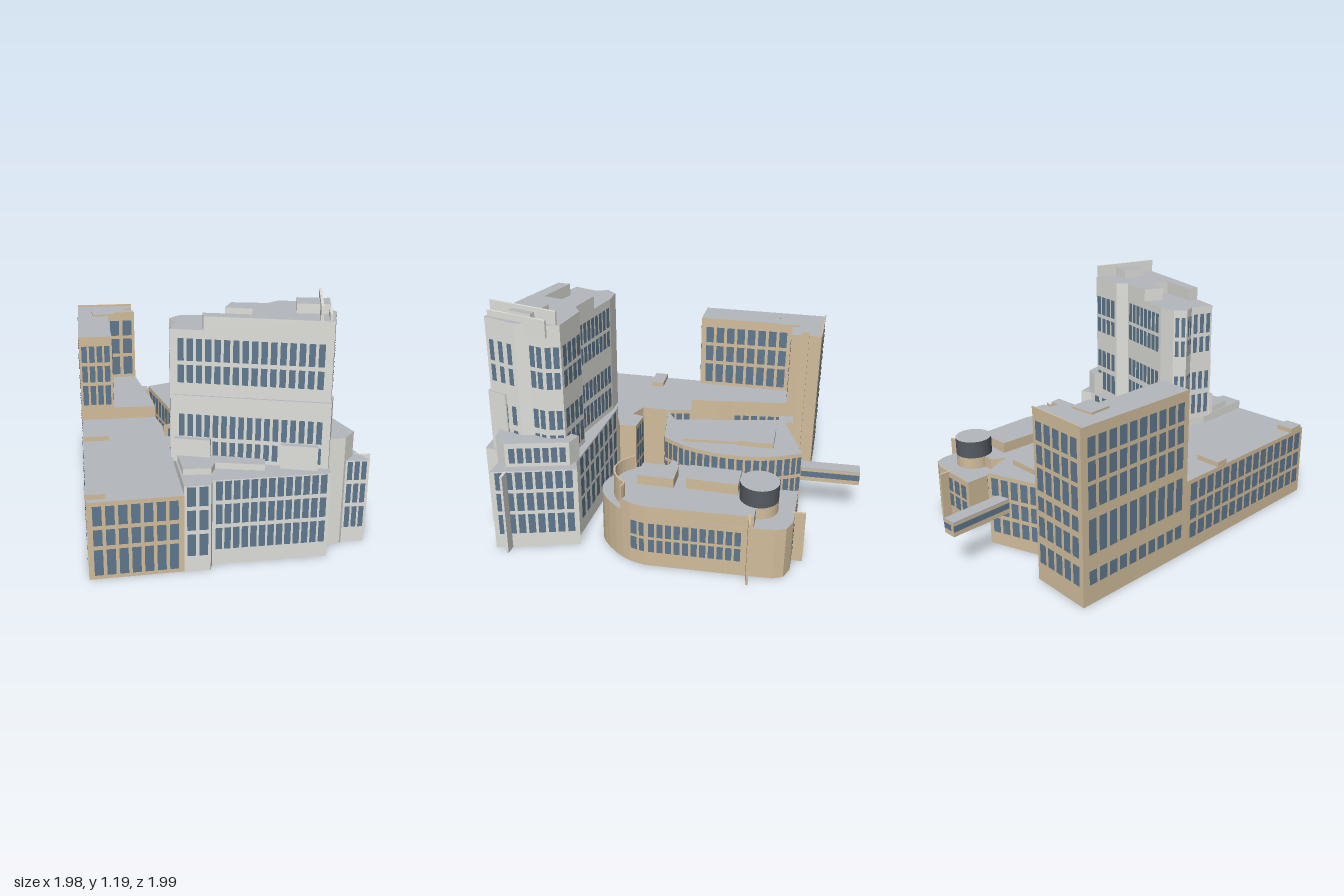
import * as THREE from 'three';
import { mergeGeometries } from 'three/addons/utils/BufferGeometryUtils.js';

const mat = color => new THREE.MeshStandardMaterial({ color, side: THREE.DoubleSide, flatShading: true });
const TAN = mat(0xd2bd9c), GREY = mat(0xdfdfda), ROOF = mat(0xb4b8bd), GLASS = mat(0x5f788e), DARK = mat(0x555b62);

export function createModel() {
  const model = new THREE.Group();
  const add = (name, geo, material) => {
    const m = new THREE.Mesh(geo, material);
    m.name = name;
    model.add(m);
  };

  // Points of a smooth plan curve
  const curve = (points, n) => new THREE.SplineCurve(points.map(p => new THREE.Vector2(...p)))
    .getPoints(n).map(p => [p.x, p.y]);

  // An upright sheet from a to b, facing outward when the plan runs clockwise seen from above
  function panel(a, b, y0, y1, offset = 0) {
    const dx = a[0] - b[0], dz = a[1] - b[1], len = Math.hypot(dx, dz);
    return new THREE.PlaneGeometry(len, y1 - y0)
      .rotateY(-Math.atan2(dz, dx))
      .translate((a[0] + b[0]) / 2 - dz / len * offset, (y0 + y1) / 2, (a[1] + b[1]) / 2 + dx / len * offset);
  }

  // Hollow walls raised from a clockwise plan of [x, z] corners, closed by a roof; open lists shared walls
  function block(name, plan, y0, y1, wall, open = []) {
    const sides = plan.map((p, i) => panel(p, plan[(i + 1) % plan.length], y0, y1));
    add(name, mergeGeometries(sides.filter((_, i) => !open.includes(i))), wall);
    const shape = new THREE.Shape(plan.map(([x, z]) => new THREE.Vector2(x, -z)));
    add(name + 'Roof', new THREE.ShapeGeometry(shape).rotateX(-Math.PI / 2).translate(0, y1, 0), ROOF);
  }

  // A grid of panes on wall number i of a plan
  function windows(name, plan, i, cols, rows, fill = 0.72, margin = 0.04) {
    const a = plan[i], b = plan[(i + 1) % plan.length];
    const at = t => [a[0] + (b[0] - a[0]) * t, a[1] + (b[1] - a[1]) * t];
    const step = (1 - 2 * margin) / cols, panes = [];
    for (const [y0, y1] of rows)
      for (let c = 0; c < cols; c++) {
        const t = margin + (c + 0.5) * step;
        panes.push(panel(at(t - step * fill / 2), at(t + step * fill / 2), y0, y1, 0.003));
      }
    add(name + 'Windows', mergeGeometries(panes), GLASS);
  }

  // A solid bar standing on the line from a to b
  function wallBox(a, b, y0, y1, thick) {
    const dx = b[0] - a[0], dz = b[1] - a[1];
    return new THREE.BoxGeometry(Math.hypot(dx, dz), y1 - y0, thick)
      .rotateY(-Math.atan2(dz, dx))
      .translate((a[0] + b[0]) / 2, (y0 + y1) / 2, (a[1] + b[1]) / 2);
  }

  // A turned box given by centre, size and angle in plan
  function roofBox(name, x, z, w, d, y0, y1, angle, wall) {
    const c = Math.cos(angle), s = Math.sin(angle);
    block(name, [[-1, -1], [1, -1], [1, 1], [-1, 1]].map(([i, j]) =>
      [x + c * i * w / 2 - s * j * d / 2, z + s * i * w / 2 + c * j * d / 2]), y0, y1, wall);
  }

  const low3 = [[0.07, 0.15], [0.17, 0.25], [0.27, 0.365]];
  const podiumRows = [[0.08, 0.19], [0.21, 0.31], [0.33, 0.425]];

  // Tall tan wing standing on a wider base
  const back = [[-0.99, -0.21], [-0.75, -0.42], [-0.71, -0.37], [-0.74, -0.34], [-0.71, -0.31], [-0.68, -0.34],
    [-0.64, -0.31]];
  const base = [...back, [-0.41, -0.12], [-0.36, -0.09], [-0.24, 0.02], [-0.54, 0.28]];
  block('tallWingBase', base, 0, 0.45, TAN);
  windows('tallWingBaseFront', base, 10, 10, [[0.1, 0.17], [0.25, 0.42]]);
  windows('tallWingBaseBack', base, 0, 5, [[0.1, 0.2], [0.24, 0.34], [0.37, 0.44]]);
  windows('tallWingBaseCourt', base, 6, 6, low3);
  const wing = [...back, [-0.755, -0.2], [-0.41, 0.165], [-0.54, 0.28]];
  block('tallWing', wing, 0.45, 0.85, TAN);
  const wingRows = [[0.47, 0.58], [0.6, 0.69], [0.71, 0.8]];
  for (const [side, cols] of [[9, 10], [8, 4], [7, 8], [6, 2], [0, 5]])
    windows('tallWing', wing, side, cols, wingRows);
  roofBox('tallWingPenthouse', -0.76, -0.17, 0.11, 0.12, 0.85, 0.86, 0.75, TAN);
  add('tallWingParapet', wallBox(wing[0], wing[1], 0.85, 0.86, 0.006), TAN);

  // Long tan front wing with its courtyard bay
  const front = [[-0.54, 0.28], [-0.24, 0.02], [-0.13, 0.1], [-0.04, 0.2], [0.05, 0.17], [0.02, 0.11],
    [0.12, 0.035], [0.18, 0.1], [0.13, 0.2], [0.09, 0.26], [0.09, 0.33], [0.15, 0.36], [0.2, 0.45], [0.43, 0.69],
    [0.12, 0.99]];
  block('frontWing', front, 0, 0.385, TAN, [0, 8, 9, 10, 11, 12]);
  windows('frontWing', front, 14, 15, low3, 0.75, 0.02);
  windows('frontWingEnd', front, 13, 7, [[0.02, 0.07], ...low3]);
  windows('frontWingBay', front, 5, 3, low3);
  windows('frontWingCourt', front, 1, 3, low3);
  roofBox('frontWingHatch', -0.31, 0.43, 0.13, 0.07, 0.385, 0.41, -0.75, TAN);
  roofBox('frontWingCornerHatch', 0.1, 0.91, 0.09, 0.09, 0.385, 0.41, 0.81, TAN);

  // Grey podium with a slim bay at the back corner
  const podium = [[0.13, 0.2], [0.6, -0.18], [0.63, -0.24], [0.985, -0.03], [0.9, 0.04], [0.9, 0.06], [0.85, 0.12],
    [0.9, 0.2], [0.5, 0.57], [0.52, 0.61], [0.43, 0.69], [0.2, 0.45], [0.15, 0.36], [0.09, 0.33], [0.09, 0.26]];
  block('podium', podium, 0, 0.43, GREY);
  windows('podiumFront', podium, 7, 13, podiumRows, 0.75, 0.02);
  windows('podiumCorner', podium, 9, 2, podiumRows);
  windows('podiumCourt', podium, 0, 8, podiumRows, 0.6);
  windows('podiumBack', podium, 2, 8, podiumRows);
  windows('podiumBay', podium, 3, 3, podiumRows);
  windows('podiumInside', [podium[11], podium[10]], 0, 7, podiumRows);
  block('terrace', [[0.22, 0.46], [0.6, 0.28], [0.64, 0.35], [0.44, 0.46], [0.46, 0.52], [0.36, 0.6]], 0.43, 0.46, GREY);
  const corner = [[0.57, -0.16], [0.64, -0.19], [0.9, -0.03], [0.9, 0.06], [0.85, 0.12], [0.7, 0.1]];
  block('cornerBlock', corner, 0.43, 0.555, GREY);
  windows('cornerBlock', corner, 1, 7, [[0.45, 0.53]]);
  add('endFin', wallBox([0.9, -0.05], [0.96, -0.1], 0, 0.43, 0.012), GREY);

  // Grey tower: broad lower stage, set back shaft, raised roof
  const stage = [[0.3, 0.2], [0.83, 0.07], [0.87, 0.17], [0.21, 0.48]];
  block('towerStage', stage, 0.43, 0.75, GREY);
  windows('towerStage', stage, 2, 17, [[0.45, 0.53], [0.55, 0.66]], 0.65);
  for (const t of [0.14, 0.82])
    roofBox('towerBalcony', 0.21 + 0.66 * t, 0.485 - 0.31 * t, 0.17, 0.05, 0.43, 0.545, -0.44, GREY);
  const shaft = [[0.2, 0.475], [0.15, 0.36], [0.09, 0.33], [0.09, 0.26], [0.16, 0.2], [0.45, 0.035], [0.465, -0.03],
    [0.63, -0.14], [0.7, -0.1], [0.74, -0.03], [0.79, 0], [0.86, 0.16]];
  block('towerShaft', shaft, 0.43, 1.06, GREY);
  const rows = [[0.46, 0.57], [0.6, 0.7], [0.81, 0.895], [0.915, 1.02]];
  windows('towerFront', shaft, 11, 16, rows.slice(2), 0.68);
  for (const [side, cols, fill] of [[4, 8, 0.72], [6, 4, 0.72], [0, 3, 0.6], [1, 2, 0.6], [2, 2, 0.6], [10, 3, 0.5],
    [7, 2, 0.72], [8, 2, 0.72]])
    windows('towerSide', shaft, side, cols, rows, fill);
  block('towerCrown', [[0.34, 0.41], [0.3, 0.36], [0.5, 0.26], [0.45, 0.17], [0.33, 0.22], [0.3, 0.12], [0.45, 0.035],
    [0.465, -0.03], [0.63, -0.14], [0.7, -0.1], [0.74, -0.03], [0.79, 0], [0.86, 0.16]], 1.06, 1.125, GREY);
  roofBox('towerPenthouse', 0.69, 0.04, 0.15, 0.12, 1.125, 1.17, -0.5, GREY);
  add('roofScreens', mergeGeometries([wallBox([0.64, -0.13], [0.81, 0.19], 1.125, 1.19, 0.012),
    wallBox([0.69, -0.12], [0.84, 0.16], 1.07, 1.155, 0.012)]), GREY);

  // Tan fan-shaped building
  const fan = [[-0.58, -0.36], ...curve([[-0.41, -0.68], [-0.28, -0.63], [-0.15, -0.54], [-0.04, -0.41],
    [0.03, -0.28], [0.06, -0.15]], 10), [-0.13, 0.09], [-0.1, -0.02]];
  block('fanBuilding', fan, 0, 0.385, TAN);
  for (let i = 1; i < 11; i++) windows('fanCurve', fan, i, 2, low3.slice(1), 0.72, 0);
  for (const [side, cols] of [[0, 6], [11, 4], [13, 9]]) windows('fanSide', fan, side, cols, low3);
  roofBox('fanRoofPlant', -0.18, -0.3, 0.36, 0.16, 0.385, 0.4, 0.72, TAN);
  roofBox('fanRoofPlantEnd', -0.32, -0.44, 0.17, 0.18, 0.385, 0.412, -0.75, TAN);
  block('fanLink', [[-0.68, -0.33], [-0.62, -0.39], [-0.56, -0.34], [-0.62, -0.28]], 0, 0.37, TAN);

  // Tan round-ended building, lower at both ends
  const oval = [[-0.28, -0.8], [-0.08, -0.98], [-0.02, -1], [0.03, -0.98], [0.13, -0.885],
    ...curve([[0.46, -0.56], [0.5, -0.49], [0.52, -0.4], [0.515, -0.29], [0.48, -0.215], [0.42, -0.17], [0.34, -0.16],
      [0.26, -0.18], [0.2, -0.22], [0.08, -0.35]], 18), [-0.12, -0.58], [-0.12, -0.63]];
  block('roundedBuildingBase', oval, 0, 0.27, TAN);
  const bend = curve([[0.515, -0.44], [0.485, -0.425], [0.485, -0.38], [0.475, -0.33], [0.45, -0.285], [0.41, -0.255],
    [0.36, -0.243], [0.31, -0.245]], 14);
  block('roundedBuilding', [[-0.13, -0.7], [0.1, -0.91], [0.46, -0.56], [0.5, -0.49], ...bend,
    [0.24, -0.25], [0.08, -0.37], [-0.11, -0.59]], 0.27, 0.33, TAN);
  const ovalRows = [[0.08, 0.15], [0.165, 0.24]];
  windows('roundedLong', oval, 4, 11, ovalRows, 0.72, 0.02);
  for (const i of [5, 6]) windows('roundedTurn', oval, i, 1, ovalRows, 0.72, 0);
  windows('roundedBack', oval, 0, 4, ovalRows);
  windows('roundedCourt', oval, 23, 5, ovalRows);
  // Curved screen wall over the round end
  add('curvedScreen', mergeGeometries(bend.slice(1).map((p, i) => wallBox(bend[i], p, 0.27, 0.4, 0.008))), TAN);
  roofBox('roofPlantLong', 0.08, -0.59, 0.25, 0.13, 0.33, 0.385, 0.83, TAN);
  roofBox('roofPlantShort', 0.275, -0.4, 0.18, 0.12, 0.33, 0.38, 0.83, TAN);
  add('tankBase', new THREE.CylinderGeometry(0.093, 0.093, 0.06, 32, 1, true).translate(-0.025, 0.3, -0.8), TAN);
  add('tank', new THREE.CylinderGeometry(0.093, 0.093, 0.09, 32, 1, true).translate(-0.025, 0.375, -0.8), DARK);
  add('tankLid', new THREE.CircleGeometry(0.093, 32).rotateX(-Math.PI / 2).translate(-0.025, 0.42, -0.8), ROOF);
  add('wallFins', mergeGeometries([wallBox([-0.18, -0.96], [-0.13, -0.91], 0, 0.27, 0.012),
    wallBox([0.16, -0.95], [0.1, -0.88], 0, 0.33, 0.012)]), TAN);

  // Raised footbridges with glazed sides
  for (const [a, b, w] of [[[-0.68, -0.83], [-0.45, -0.6], 0.07], [[-0.14, -0.5], [-0.06, -0.56], 0.06],
    [[0.04, -0.23], [0.13, -0.28], 0.04]]) {
    add('footbridge', wallBox(a, b, 0.2, 0.27, w), TAN);
    add('footbridgeGlazing', wallBox(a, b, 0.225, 0.255, w + 0.006), GLASS);
    add('footbridgeRoof', wallBox(a, b, 0.27, 0.275, w), ROOF);
  }
  return model;
}
